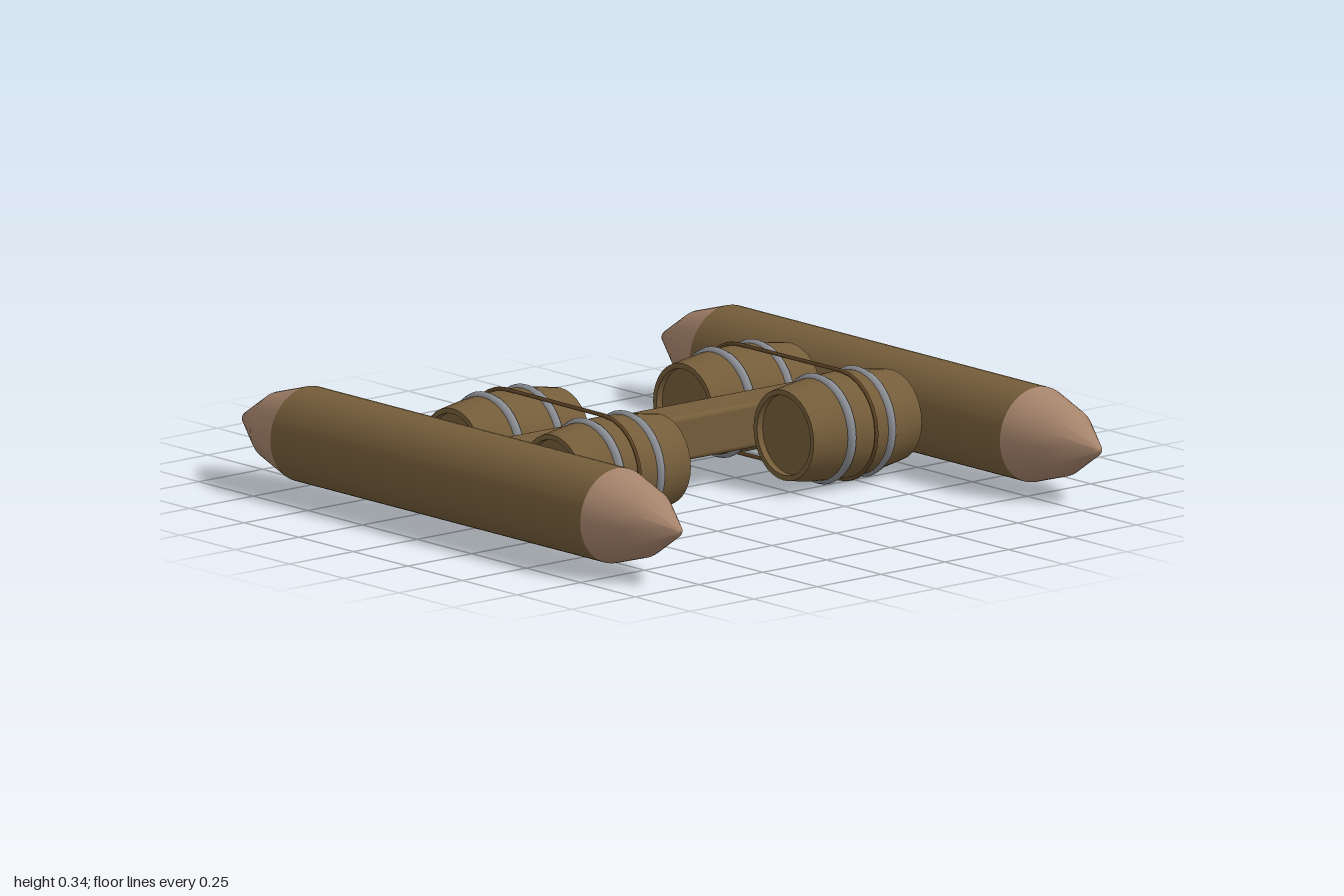
import * as THREE from 'three';
import { toCreasedNormals } from 'three/addons/utils/BufferGeometryUtils.js';
import { RoundedBoxGeometry } from 'three/addons/geometries/RoundedBoxGeometry.js';

const MID_Y = 0.175;

function mat(name, color) {
  const m = new THREE.MeshStandardMaterial({ color });
  m.name = name;
  return m;
}

function part(name, geometry, material) {
  const mesh = new THREE.Mesh(geometry, material);
  mesh.name = name;
  return mesh;
}

// Revolved profile of [radius, height] pairs, with sharp edges kept
function lathe(points, segments, crease = 0.45) {
  const profile = points.map(([r, y]) => new THREE.Vector2(r, y));
  return toCreasedNormals(new THREE.LatheGeometry(profile, segments), crease);
}

// Closed rope path around a front and a back barrel
function ropePath(barrelZ, radius, skew) {
  const pts = [];
  for (const end of [1, -1]) {
    for (let i = 0; i <= 12; i++) {
      const a = (end > 0 ? Math.PI / 2 : -Math.PI / 2) - (i / 12) * Math.PI;
      const z = end * barrelZ + Math.cos(a) * radius;
      pts.push(new THREE.Vector3(skew * z, Math.sin(a) * radius, z));
    }
  }
  const path = new THREE.CurvePath();
  pts.forEach((p, i) => path.add(new THREE.LineCurve3(p, pts[(i + 1) % pts.length])));
  return path;
}

export function createModel() {
  const wood = mat('wood', 0x755d3a);
  const cutWood = mat('cut wood', 0xa5836b);
  const metal = mat('metal', 0x8b8e94);
  const rope = mat('rope', 0x5e4526);
  const model = new THREE.Group();
  model.name = 'barrelRaft';

  // Floating logs with sharpened ends
  const logGeo = new THREE.CylinderGeometry(0.145, 0.145, 1.42, 40, 1, true).rotateX(Math.PI / 2);
  const tipGeo = lathe([[0.145, 0.71], [0.104, 0.85], [0.018, 0.988], [0, 1]], 40, 0.6)
    .rotateX(Math.PI / 2);
  for (const side of [-1, 1]) {
    const log = new THREE.Group();
    log.name = side > 0 ? 'leftLog' : 'rightLog';
    log.add(part('logTrunk', logGeo, wood));
    const front = part('frontTip', tipGeo, cutWood);
    const back = part('backTip', tipGeo, cutWood);
    back.rotation.y = Math.PI;
    log.add(front, back);
    log.position.set(side * 0.823, MID_Y, 0);
    model.add(log);
  }

  // Cross beam joining the logs
  const beam = part('crossBeam', new RoundedBoxGeometry(1.39, 0.14, 0.15, 2, 0.016), wood);
  beam.position.y = MID_Y;
  model.add(beam);

  // Barrels with recessed lids and two hoops
  const barrelGeo = lathe([
    [0, -0.19], [0.122, -0.19], [0.122, -0.212], [0.138, -0.212], [0.151, -0.13], [0.158, -0.065],
    [0.16, 0], [0.158, 0.065], [0.151, 0.13], [0.138, 0.212], [0.122, 0.212], [0.122, 0.19], [0, 0.19],
  ], 32).rotateZ(-Math.PI / 2);
  const hoopGeo = new THREE.TorusGeometry(0.152, 0.016, 8, 40).rotateY(Math.PI / 2);
  for (const sx of [-1, 1]) {
    for (const sz of [-1, 1]) {
      const barrel = new THREE.Group();
      barrel.name = (sz > 0 ? 'front' : 'back') + (sx > 0 ? 'Left' : 'Right') + 'Barrel';
      barrel.add(part('barrelBody', barrelGeo, wood));
      for (const x of [-0.078, 0.078]) {
        const hoop = part('barrelHoop', hoopGeo, metal);
        hoop.position.x = x;
        barrel.add(hoop);
      }
      barrel.position.set(sx * 0.453, MID_Y, sz * 0.23);
      model.add(barrel);
    }
    // Rope lashing the pair together
    const lashing = part('ropeLashing',
      new THREE.TubeGeometry(ropePath(0.23, 0.166, sx * 0.012), 130, 0.006, 6, true), rope);
    lashing.position.set(sx * 0.459, MID_Y, 0);
    model.add(lashing);
  }

  return model;
}
